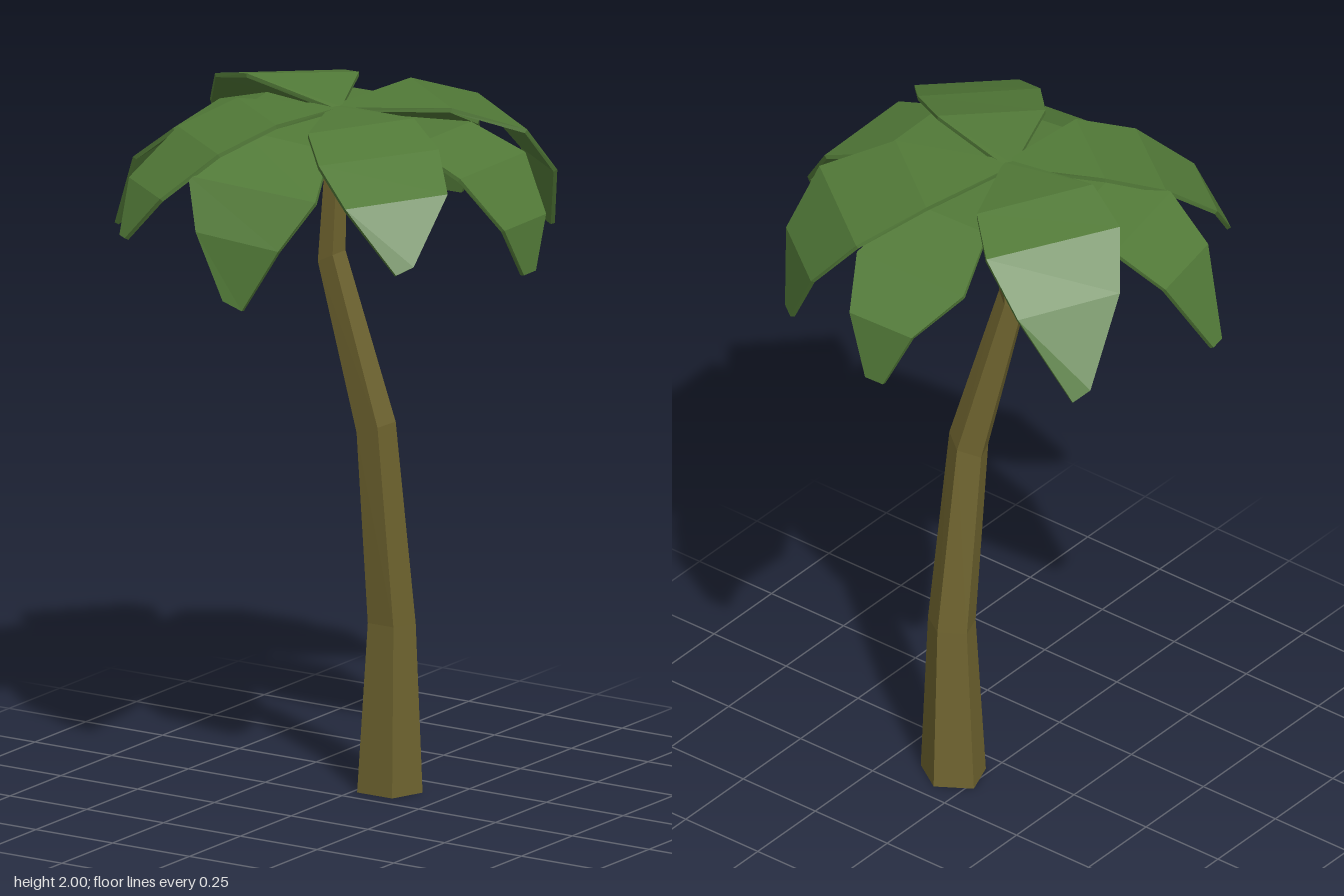
import * as THREE from 'three';

// Skin a list of equal-sized closed rings of Vector3, capped at both ends
function loft(rings) {
  const n = rings[0].length, last = (rings.length - 1) * n, index = [];
  for (let i = 0; i < rings.length - 1; i++) {
    for (let j = 0; j < n; j++) {
      const a = i * n + j, d = i * n + (j + 1) % n;
      index.push(a, a + n, d + n, a, d + n, d);
    }
  }
  for (let j = 1; j < n - 1; j++) {
    index.push(0, j, j + 1, last, last + j + 1, last + j);
  }
  const geo = new THREE.BufferGeometry().setFromPoints(rings.flat());
  geo.setIndex(index);
  const flat = geo.toNonIndexed();
  flat.computeVertexNormals();
  return flat;
}

// Trunk stations: centre x, y, z, radius, and slope of the section along x
const TRUNK = [
  [0.073, 0, -0.12, 0.097, 0],
  [0.088, 0.48, -0.108, 0.071, 0],
  [0.08, 1.04, -0.044, 0.058, 0.35],
  [-0.024, 1.52, 0.017, 0.041, 0.5],
  [0.005, 1.925, 0.027, 0.03, 0],
];

// Fronds: heading in degrees from the front, then four stations of
// distance, height and half width, and a sideways tilt.
// Odd-numbered fronds sit in the lower layer, even ones overlap them.
const FRONDS = [
  { heading: 3, r: [0.27, 0.45, 0.53, 0.555], y: [1.915, 1.82, 1.69, 1.515], w: [0.14, 0.2, 0.13, 0.03], tilt: -0.01 },
  { heading: 50, r: [0.24, 0.41, 0.58, 0.66], y: [1.955, 1.91, 1.83, 1.655], w: [0.15, 0.17, 0.145, 0.025], tilt: 0.01 },
  { heading: 91, r: [0.34, 0.505, 0.61, 0.625], y: [1.92, 1.855, 1.71, 1.57], w: [0.15, 0.165, 0.105, 0.03], tilt: 0 },
  { heading: 143, r: [0.275, 0.48, 0.59, 0.62], y: [1.96, 1.89, 1.75, 1.57], w: [0.168, 0.2, 0.135, 0.03], tilt: 0 },
  { heading: 182, r: [0.275, 0.45, 0.585, 0.615], y: [1.92, 1.83, 1.735, 1.57], w: [0.13, 0.18, 0.105, 0.03], tilt: 0 },
  { heading: 236, r: [0.235, 0.4, 0.545, 0.66], y: [1.983, 1.945, 1.83, 1.61], w: [0.165, 0.19, 0.145, 0.025], tilt: 0.015 },
  { heading: 281, r: [0.26, 0.41, 0.545, 0.64], y: [1.925, 1.885, 1.78, 1.56], w: [0.14, 0.165, 0.125, 0.025], tilt: 0 },
  { heading: 324, r: [0.23, 0.4, 0.555, 0.62], y: [1.955, 1.89, 1.77, 1.64], w: [0.15, 0.155, 0.12, 0.02], tilt: 0 },
];

const CROWN_Z = 0.03;
const THICKNESS = 0.012;

// A thin, bent blade: each station is a flat four-cornered section
function frondGeometry({ heading, r, y, w, tilt }, rootY) {
  const a = THREE.MathUtils.degToRad(heading);
  const out = new THREE.Vector3(Math.sin(a), 0, Math.cos(a));
  const side = new THREE.Vector3(Math.cos(a), 0, -Math.sin(a));
  const R = [-0.01, ...r], Y = [rootY, ...y], W = [0.012, ...w];
  const rings = R.map((dist, i) => {
    const p = Math.max(i - 1, 0), q = Math.min(i + 1, R.length - 1);
    const slope = Math.atan2(Y[q] - Y[p], R[q] - R[p]);
    // step to the underside, square to the bend
    const under = out.clone().multiplyScalar(Math.sin(slope) * THICKNESS);
    under.y = -Math.cos(slope) * THICKNESS;
    const corner = (s) => new THREE.Vector3(0, Y[i] + s * (i ? tilt : 0), CROWN_Z)
      .addScaledVector(out, dist).addScaledVector(side, s * W[i]);
    const left = corner(-1), right = corner(1);
    return [left, right, right.clone().add(under), left.clone().add(under)];
  });
  return loft(rings);
}

export function createModel() {
  const model = new THREE.Group();
  model.name = 'palmTree';
  const bark = new THREE.MeshStandardMaterial({ color: 0x6f642f, flatShading: true });
  const leaf = new THREE.MeshStandardMaterial({ color: 0x527a38, flatShading: true });

  // Five-sided leaning trunk, a flat side to the front
  const trunkRings = TRUNK.map(([x, y, z, radius, slope]) =>
    Array.from({ length: 5 }, (_, k) => {
      const t = k * Math.PI * 2 / 5 - Math.PI / 2;
      const dx = radius * Math.cos(t);
      return new THREE.Vector3(x + dx, y + slope * dx, z + 0.89 * radius * Math.sin(t));
    }));
  const trunk = new THREE.Mesh(loft(trunkRings), bark);
  trunk.name = 'trunk';
  model.add(trunk);

  // Crown of eight drooping fronds in two layers
  const crown = new THREE.Group();
  crown.name = 'crown';
  FRONDS.forEach((spec, i) => {
    const frond = new THREE.Mesh(frondGeometry(spec, i % 2 ? 1.948 : 1.93), leaf);
    frond.name = `frond${i + 1}`;
    crown.add(frond);
  });
  model.add(crown);
  return model;
}
